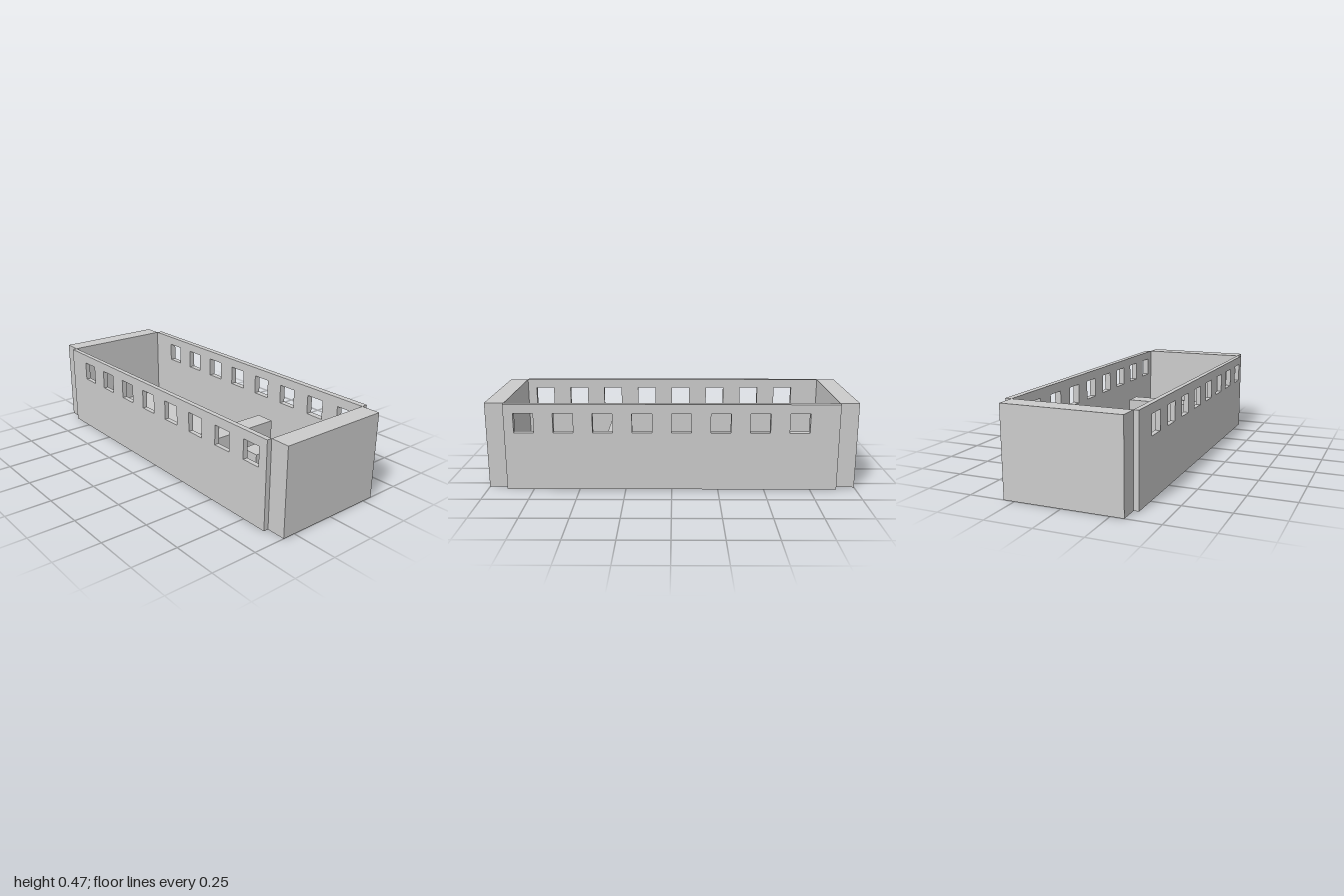
import * as THREE from 'three';

const HEIGHT = 0.474, BODY = 0.895, FLOOR = 0.05;
const X0 = -0.32, X1 = 0.31; // inner faces of the side walls

const material = new THREE.MeshStandardMaterial({ color: 0xcccccc, flatShading: true });

// Box given by its extents along each axis
function box(name, [x0, x1], [y0, y1], [z0, z1]) {
  const mesh = new THREE.Mesh(new THREE.BoxGeometry(x1 - x0, y1 - y0, z1 - z0), material);
  mesh.position.set((x0 + x1) / 2, (y0 + y1) / 2, (z0 + z1) / 2);
  mesh.name = name;
  return mesh;
}

function rectangle(PathType, u0, u1, v0, v1) {
  const path = new PathType();
  path.moveTo(u0, v0).lineTo(u1, v0).lineTo(u1, v1).lineTo(u0, v1).closePath();
  return path;
}

// Long wall with a row of eight square windows
function sideWall(name, x0, x1) {
  const shape = rectangle(THREE.Shape, -BODY, BODY, 0, HEIGHT);
  for (let i = 0; i < 8; i++) {
    const z = -0.737 + i * 0.2105;
    shape.holes.push(rectangle(THREE.Path, z, z + 0.107, 0.318, 0.424));
  }
  const geometry = new THREE.ExtrudeGeometry(shape, { depth: x1 - x0, bevelEnabled: false });
  geometry.rotateY(-Math.PI / 2);
  const mesh = new THREE.Mesh(geometry, material);
  mesh.position.x = x1;
  mesh.name = name;
  return mesh;
}

export function createModel() {
  const model = new THREE.Group();
  model.name = 'openCarriageBody';

  model.add(
    // Floor and thick end walls
    box('floor', [X0, X1], [0, FLOOR], [-BODY, BODY]),
    box('frontEndWall', [X0, X1], [0, HEIGHT], [BODY, 1]),
    box('backEndWall', [X0, X1], [0, HEIGHT], [-1, -BODY]),
    // Windowed side walls
    sideWall('leftWall', X1, 0.345),
    sideWall('rightWall', -0.347, X0),
    // Interior counter and the smaller block in front of it
    box('counter', [X0, 0.2], [FLOOR, 0.252], [0.26, 0.366]),
    box('seatBlock', [-0.11, 0.095], [FLOOR, 0.21], [0.472, 0.577])
  );
  return model;
}
